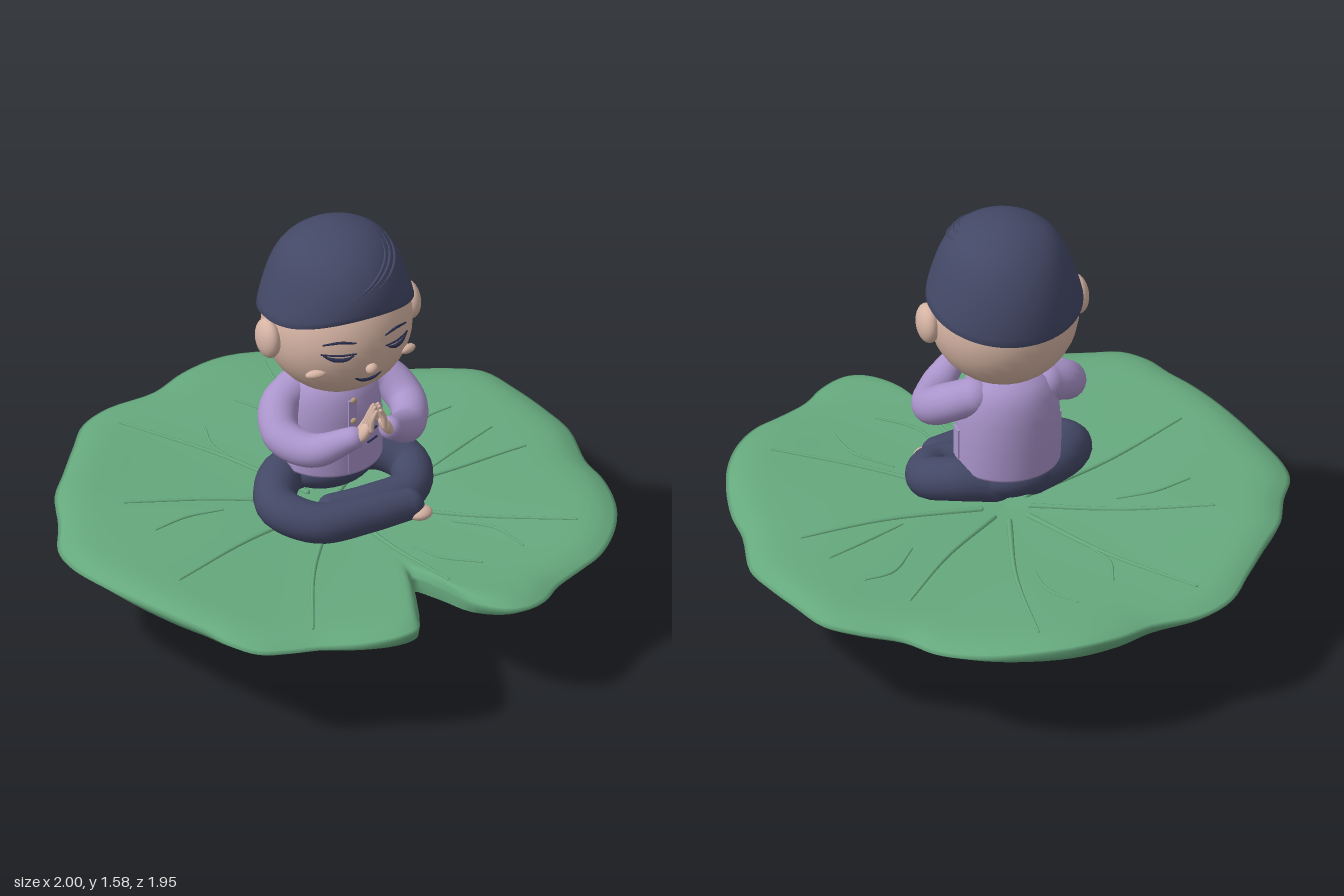
import * as THREE from 'three';

const mat = (name, color) => Object.assign(new THREE.MeshStandardMaterial({ color }), { name });
const V = (p) => new THREE.Vector3(...p);

export function createModel() {
  const leafGreen = mat('leaf green', 0x66a97e);
  const skin = mat('skin', 0xd6b4a4);
  const lilac = mat('lilac shirt', 0xaa94cb);
  const navy = mat('navy cloth and hair', 0x434866);
  const ink = mat('dark ink', 0x2b3050);
  const tan = mat('tan buttons', 0xb99c80);

  const model = new THREE.Group();
  model.name = 'meditatingChildOnLeaf';
  const figure = new THREE.Group();
  figure.name = 'figure';
  figure.position.x = 0.01;
  model.add(figure);

  const add = (parent, name, geo, material, pos = [0, 0, 0], rot = [0, 0, 0], scale = [1, 1, 1]) => {
    const m = new THREE.Mesh(geo, material);
    m.name = name;
    m.position.set(...pos);
    m.rotation.set(...rot);
    m.scale.set(...scale);
    parent.add(m);
    return m;
  };
  const ball = (parent, name, material, pos, radii, rot) =>
    add(parent, name, new THREE.SphereGeometry(1, 32, 24), material, pos, rot, radii);

  // Skin a list of closed rings, each an array of [x, y, z]
  const loft = (rings) => {
    const n = rings[0].length, index = [];
    for (let i = 0; i < rings.length - 1; i++) for (let j = 0; j < n; j++) {
      const k = (j + 1) % n, a = i * n + j, b = a + n, c = (i + 1) * n + k, d = i * n + k;
      index.push(a, b, c, a, c, d);
    }
    const g = new THREE.BufferGeometry();
    g.setAttribute('position', new THREE.Float32BufferAttribute(rings.flat(2), 3));
    g.setIndex(index);
    g.computeVertexNormals();
    return g;
  };

  // Tube whose radius follows a list of values, with rounded ends
  const limb = (parent, name, points, radii, material, seg = 32, sides = 20) => {
    const curve = new THREE.CatmullRomCurve3(points.map(V));
    const g = new THREE.TubeGeometry(curve, seg, 1, sides, false);
    const p = g.attributes.position, v = new THREE.Vector3();
    const radiusAt = (u) => {
      const f = u * (radii.length - 1), i = Math.min(Math.floor(f), radii.length - 2);
      return THREE.MathUtils.lerp(radii[i], radii[i + 1], f - i);
    };
    for (let i = 0; i <= seg; i++) {
      const c = curve.getPointAt(i / seg), r = radiusAt(i / seg);
      for (let j = 0; j <= sides; j++) {
        const k = i * (sides + 1) + j;
        v.fromBufferAttribute(p, k).sub(c).multiplyScalar(r).add(c);
        p.setXYZ(k, v.x, v.y, v.z);
      }
    }
    const group = new THREE.Group();
    group.name = name;
    parent.add(group);
    add(group, name + 'Tube', g, material);
    [[0, radii[0]], [1, radii.at(-1)]].forEach(([u, r]) =>
      add(group, name + 'End', new THREE.SphereGeometry(r, sides, 12), material, curve.getPointAt(u).toArray()));
    return group;
  };

  // Lily leaf: wavy outline with a front notch, lofted around the hub
  const hub = [0.02, 0.01];
  const outline = [
    [.04, .59], [.09, .70], [.14, .86], [.22, .95], [.29, .97], [.38, .94], [.47, .87], [.59, .815], [.69, .77],
    [.79, .68], [.87, .56], [.92, .43], [.95, .29], [.955, .16], [1, -.05], [.98, -.19], [.94, -.35], [.89, -.50],
    [.78, -.59], [.65, -.67], [.57, -.78], [.47, -.86], [.33, -.93], [.11, -.98], [-.07, -.96], [-.21, -.91],
    [-.40, -.90], [-.53, -.84], [-.64, -.71], [-.76, -.56], [-.85, -.45], [-.92, -.29], [-.99, -.16], [-1, -.05],
    [-.97, .11], [-.92, .29], [-.85, .48], [-.80, .59], [-.76, .70], [-.69, .79], [-.58, .83], [-.48, .86],
    [-.34, .93], [-.21, .96], [-.13, .94], [-.08, .86], [-.01, .70]];
  const leafTop = (x, z) => {
    const dx = x - hub[0], dz = z - hub[1], r = Math.hypot(dx, dz), a = Math.atan2(dz, dx);
    const wave = 0.014 * Math.cos(6 * (a - 0.6)) - 0.01 * Math.cos(2 * a) - 0.01 * Math.cos(a) - 0.004 * Math.sin(a);
    return 0.392 + 0.045 * r + r ** 4 * wave;
  };
  const rim = new THREE.CatmullRomCurve3(outline.map(([x, z]) => new THREE.Vector3(x, 0, z)), true, 'centripetal')
    .getPoints(188).slice(0, -1);
  const leafRing = (t, under) => rim.map((p) => {
    const dx = (p.x - hub[0]) * t, dz = (p.z - hub[1]) * t, x = hub[0] + dx, z = hub[1] + dz;
    const top = leafTop(x, z), roll = 0.037 * Math.max(0, (t - 0.85) / 0.15) ** 2.5;
    return [x, under ? Math.min(top - 0.048, 0.302 + 0.085 * (dx * dx + dz * dz)) : top - roll, z];
  });
  const steps = [0, .08, .2, .35, .5, .65, .78, .85, .9, .935, .96, .985, 1];
  add(model, 'leaf', loft([
    ...steps.map((t) => leafRing(t, false)),
    ...[.985, .95, .88, .75, .6, .45, .3, .15, 0].map((t) => leafRing(t, true))]), leafGreen);

  // Raised leaf veins: long ones from the hub, short curved ones between
  const vein = (pts, radii) => {
    const flat = new THREE.CatmullRomCurve3(pts.map(([x, z]) => new THREE.Vector3(x, 0, z))).getPoints(12);
    limb(model, 'leafVein', flat.map((p) => [p.x, leafTop(p.x, p.z) + 0.001, p.z]), radii, leafGreen, 24, 8);
  };
  [[-.43, -.75], [.20, -.85], [.55, -.48], [.78, .03], [.70, .57], [.12, .70], [-.46, .77], [-.73, .27], [-.66, -.28]]
    .forEach(([x, z]) => {
      const dx = x - hub[0], dz = z - hub[1];
      vein([[.12, 0], [.55, .03], [1, 0]].map(([u, b]) => [hub[0] + dx * u - dz * b, hub[1] + dz * u + dx * b]), [.011, .008, .005]);
    });
  [[[-.17, -.6], [-.2, -.48], [-.17, -.37]], [[0, -.7], [.07, -.58], [.07, -.44]], [[.66, -.31], [.55, -.29], [.43, -.16]],
    [[.73, -.13], [.6, -.08], [.41, 0]], [[.12, .43], [.17, .55], [.28, .65]], [[.32, .35], [.43, .47], [.46, .62]],
    [[-.64, -.08], [-.5, -.11], [-.36, -.1]]].forEach((pts) => vein(pts, [.004, .006, .004]));

  // Leaning stem with a collar under the leaf
  const stemProfile = [[0, 0], [.024, 0], [.027, .06], [.034, .18], [.037, .225], [.048, .25], [.044, .268], [.028, .288], [.05, .335]];
  const stem = add(model, 'stem', new THREE.LatheGeometry(stemProfile.map((p) => new THREE.Vector2(...p)), 24), leafGreen, [-.08, .008, -.03]);
  stem.quaternion.setFromUnitVectors(new THREE.Vector3(0, 1, 0), V([.1, .3, .05]).normalize());

  // Crossed legs and feet
  ball(figure, 'hips', navy, [0, .565, -.01], [.178, .085, .135]);
  limb(figure, 'rightLeg', [[-.07, .555, -.045], [-.2, .56, .01], [-.272, .525, .13], [-.18, .497, .255], [.02, .495, .285], [.17, .487, .28]],
    [.08, .08, .076, .073, .068, .058], navy);
  limb(figure, 'leftLeg', [[.07, .555, -.045], [.2, .56, 0], [.272, .525, .09], [.215, .497, .2], [.06, .49, .2], [-.08, .485, .17]],
    [.08, .08, .076, .07, .06, .05], navy);
  ball(figure, 'rightFoot', skin, [.2, .463, .315], [.045, .024, .04]);
  ball(figure, 'leftFoot', skin, [-.14, .47, .15], [.045, .024, .035]);

  // Shirt with placket, buttons, pocket lines and side panels
  const shirtProfile = [[0, .605], [.186, .605], [.19, .615], [.19, .74], [.184, .83], [.172, .9], [.14, .955], [.08, .985], [0, .99]];
  add(figure, 'shirt', new THREE.LatheGeometry(shirtProfile.map((p) => new THREE.Vector2(...p)), 48), lilac, [0, 0, .01], [0, 0, 0], [1, 1, .9]);
  add(figure, 'placket', new THREE.BoxGeometry(.032, .3, .009), lilac, [0, .765, .18]);
  [.735, .79, .835, .92].forEach((y) => ball(figure, 'button', tan, [0, y, .19], [.012, .012, .008]));
  for (const s of [-1, 1]) {
    [.762, .718].forEach((y, i) =>
      add(figure, 'pocketLine', new THREE.BoxGeometry(.055, .006, .008), ink, [s * .088, y, .162], [0, s * .45, i ? 0 : s * -.12]));
    add(figure, 'sidePanel', new THREE.BoxGeometry(.009, .12, .045), lilac, [s * .19, .705, .015]);

    // Sleeves bent toward the chest
    limb(figure, s > 0 ? 'leftSleeve' : 'rightSleeve',
      [[.135, .905, -.01], [.215, .87, .03], [.25, .81, .12], [.19, .795, .24], [.075, .86, .325]].map(([x, y, z]) => [s * x, y, z]),
      [.069, .072, .067, .06, .042], lilac);

    // Hands meeting at the fingertips
    const hand = new THREE.Group();
    hand.name = s > 0 ? 'leftHand' : 'rightHand';
    figure.add(hand);
    ball(hand, 'palm', skin, [s * .043, .893, .352], [.02, .042, .026], [0, 0, s * .55]);
    for (let i = 0; i < 4; i++)
      limb(hand, 'finger', [[s * (.042 - i * .005), .905, .337 + i * .012], [s * .022, .955, .342 + i * .012], [s * .009, 1 - Math.abs(i - 1.3) * .012, .345 + i * .011]],
        [.01, .009, .007], skin, 8, 10);
    limb(hand, 'thumb', [[s * .05, .9, .335], [s * .025, .915, .322], [s * .01, .945, .325]], [.011, .01, .007], skin, 8, 10);
  }

  // Head, ears, nose and cheeks
  const head = new THREE.Group();
  head.name = 'head';
  head.position.set(0, 1.203, .06);
  figure.add(head);
  ball(head, 'skull', skin, [0, 0, 0], [.27, .27, .27]);
  ball(head, 'nose', skin, [0, -.073, .268], [.023, .021, .02]);
  // Ink stroke laid on the face sphere
  const stroke = (name, pts, r) => limb(head, name,
    pts.map(([x, y]) => [x, y, Math.sqrt(.27 ** 2 - x * x - y * y)]), [.003, r, r, .003], ink, 16, 8);
  for (const s of [-1, 1]) {
    ball(head, 'ear', skin, [s * .28, -.005, .01], [.04, .075, .066]);
    ball(head, 'cheek', skin, [s * .183, -.086, .19], [.038, .016, .018], [0, s * .35, s * -.1]);
    stroke('closedEye', [[s * .07, -.003], [s * .09, -.014], [s * .118, -.018], [s * .145, -.013], [s * .165, -.002]], .008);
    stroke('eyelid', [[s * .06, .004], [s * .115, .001], [s * .172, .002]], .004);
    stroke('eyebrow', [[s * .06, .046], [s * .11, .052], [s * .165, .04]], .005);
  }
  stroke('mouth', [[-.05, -.115], [-.028, -.128], [0, -.132], [.028, -.128], [.05, -.115]], .0075);

  // Hair cap with a raised fringe line, pinched sides and a lower nape
  const hairZ = 0.048;
  const hairPoint = (a, q) => {
    const c = Math.cos(q), s = Math.sin(q);
    const bottom = 1.273 + .07 * Math.max(0, c) ** 2 - .045 * Math.max(0, -c);
    const r = .28 * Math.cos(a) ** .92, pinch = 1 - .055 * Math.sin(4 * a);
    return [s * r * pinch, bottom + (1.58 - bottom) * Math.sin(a), hairZ + c * r];
  };
  const ringOf = (f) => Array.from({ length: 64 }, (_, j) => f(j / 64 * Math.PI * 2));
  const tuck = (k, dy) => ringOf((q) => {
    const p = hairPoint(0, q);
    return [p[0] * k, p[1] + dy, hairZ + (p[2] - hairZ) * k];
  });
  const hairRings = Array.from({ length: 21 }, (_, i) => ringOf((q) => hairPoint(Math.PI / 2 * (1 - i / 20) * .9999, q)));
  add(figure, 'hair', loft([...hairRings, tuck(.97, -.006), tuck(.75, .004)]), navy);
  // Swept hair strands
  [[-.2, .9, .34, .98], [0, 1.15, .4, .98], [.2, 1.35, .42, .92]].forEach(([q0, q1, a0, a1]) =>
    limb(figure, 'hairStrand', [0, .25, .5, .75, 1].map((u) => hairPoint(a0 + (a1 - a0) * u, q0 + (q1 - q0) * u)),
      [.002, .006, .006, .002], navy, 24, 8));

  return model;
}
